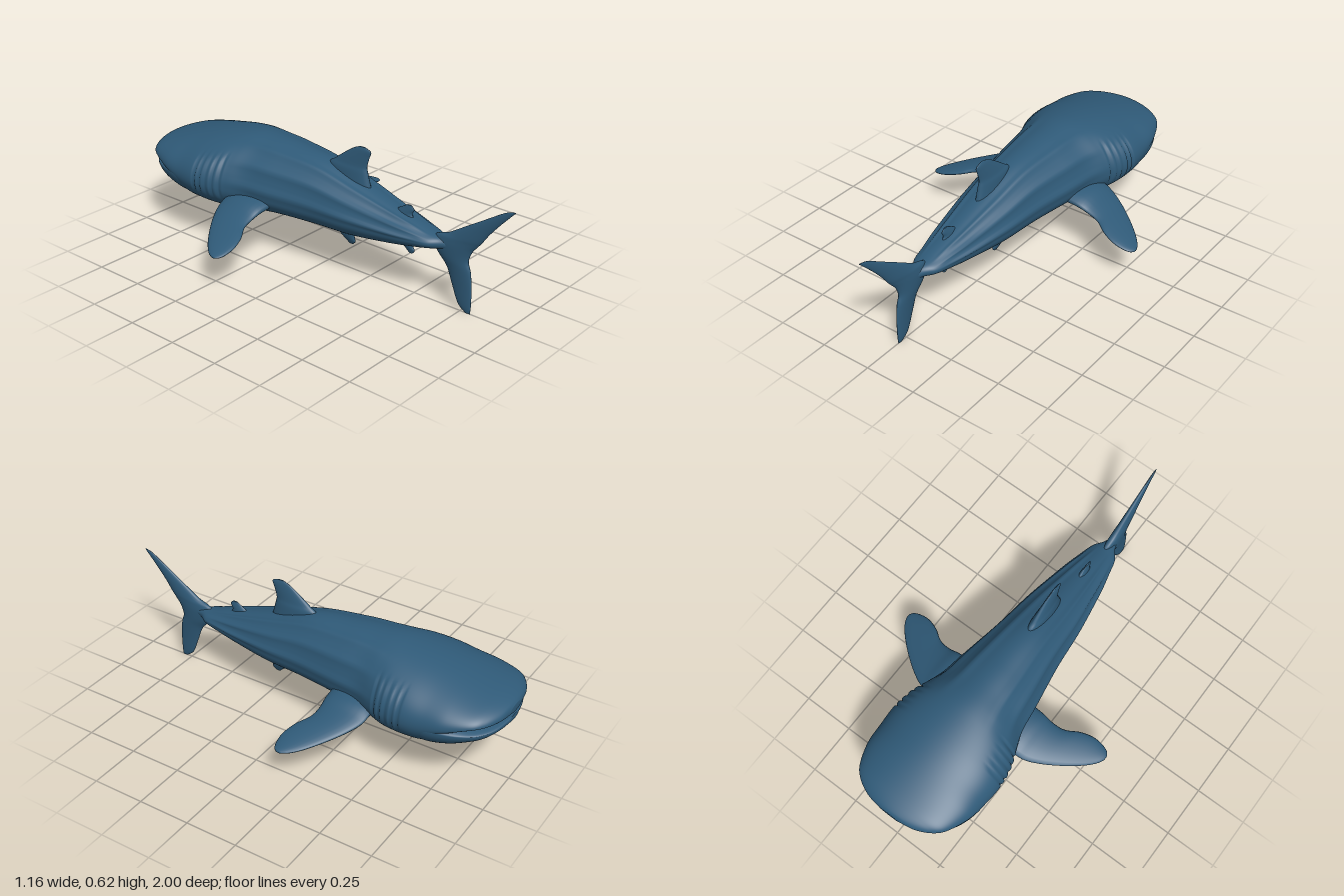
import * as THREE from 'three';

const skin = new THREE.MeshStandardMaterial({ color: 0x2f5a78 });
skin.name = 'slate blue skin';

// Smoothly resample rows of numbers (Catmull-Rom through every column).
function resample(rows, count) {
  const curve = k => new THREE.CatmullRomCurve3(
    rows.map(r => new THREE.Vector3(r[0], r[k], r[k + 1])), false, 'catmullrom', 0.5);
  const a = curve(1), b = curve(3);
  return Array.from({ length: count + 1 }, (_, i) => {
    const p = a.getPoint(i / count), q = b.getPoint(i / count);
    return [p.x, p.y, p.z, q.y, q.z];
  });
}

// Skin a list of closed rings and close both ends.
function loft(name, rings) {
  const n = rings[0].length, pos = [], index = [];
  for (const ring of rings) for (const p of ring) pos.push(...p);
  for (let i = 0; i < rings.length - 1; i++) {
    for (let j = 0; j < n; j++) {
      const a = i * n + j, b = i * n + (j + 1) % n;
      index.push(a, b, a + n, b, b + n, a + n);
    }
  }
  [0, rings.length - 1].forEach((r, end) => {
    const c = pos.length / 3;
    pos.push(...[0, 1, 2].map(k => rings[r].reduce((s, p) => s + p[k], 0) / n));
    for (let j = 0; j < n; j++) {
      const a = r * n + j, b = r * n + (j + 1) % n;
      if (end) index.push(c, a, b); else index.push(c, b, a);
    }
  });
  const g = new THREE.BufferGeometry();
  g.setAttribute('position', new THREE.Float32BufferAttribute(pos, 3));
  g.setIndex(index);
  g.computeVertexNormals();
  const mesh = new THREE.Mesh(g, skin);
  mesh.name = name;
  return mesh;
}

const smooth = THREE.MathUtils.smoothstep;

// Body rings from rows of [z, bottom, widest height, top, half width].
function bodyLoft(name, rows, steps) {
  const n = 96;
  return loft(name, resample(rows, steps).map(([z, bot, mid, top, w]) => {
    const ridges = 0.009 * smooth(z, -0.5, -0.25) * (1 - smooth(z, 0.4, 0.62));
    const gills = z > -0.6 && z < -0.43 ? 0.009 * Math.max(0, Math.sin((z + 0.6) / 0.034 * Math.PI * 2)) : 0;
    return Array.from({ length: n }, (_, j) => {
      const t = j / n * Math.PI * 2, c = Math.cos(t), s = Math.sin(t);
      // lengthwise ridges on the flanks
      let k = 0;
      const slope = Math.atan2(s, Math.abs(c));
      for (const a of [0.15, 0.6, 1.05]) k += Math.exp(-(((slope - a) / 0.09) ** 2));
      // gill slits on the sides only
      const slit = gills * smooth(s, -0.45, -0.1) * (1 - smooth(s, 0.5, 0.75));
      return [
        c * (w + k * ridges) - Math.sign(c) * slit,
        mid + s * ((s > 0 ? top - mid : mid - bot) + k * ridges),
        z];
    });
  }));
}

// Fin rings from rows of [span, leading z, trailing z, half thickness, offset].
function fin(name, rows, place, steps = 36) {
  const n = 20;
  return loft(name, resample(rows, steps).map(([s, lead, trail, th, off]) =>
    Array.from({ length: n }, (_, j) => {
      const t = j / n * Math.PI * 2;
      return place(s, (lead + trail) / 2, (trail - lead) / 2, th, off, Math.cos(t), Math.sin(t));
    })));
}
const upright = (s, m, h, th, off, c, d) => [off + th * d, s, m + h * c];
const sideways = (s, m, h, th, off, c, d) => [s, off + th * c, m + h * d];

export function createModel() {
  const shark = new THREE.Group();
  shark.name = 'shark';

  // Trunk with the upper jaw
  shark.add(bodyLoft('body', [
    [-1.0, 0.375, 0.39, 0.41, 0.05],
    [-0.985, 0.372, 0.388, 0.424, 0.13],
    [-0.95, 0.37, 0.385, 0.44, 0.2],
    [-0.9, 0.362, 0.38, 0.456, 0.246],
    [-0.8, 0.29, 0.36, 0.482, 0.285],
    [-0.7, 0.185, 0.34, 0.506, 0.297],
    [-0.6, 0.168, 0.335, 0.526, 0.302],
    [-0.5, 0.166, 0.33, 0.541, 0.288],
    [-0.42, 0.17, 0.325, 0.548, 0.255],
    [-0.33, 0.182, 0.32, 0.546, 0.222],
    [-0.2, 0.2, 0.315, 0.538, 0.2],
    [0.0, 0.206, 0.31, 0.515, 0.166],
    [0.2, 0.208, 0.305, 0.455, 0.143],
    [0.4, 0.23, 0.3, 0.392, 0.108],
    [0.52, 0.25, 0.3, 0.358, 0.085],
    [0.6, 0.266, 0.3, 0.335, 0.066],
    [0.66, 0.275, 0.3, 0.325, 0.028],
    [0.76, 0.288, 0.3, 0.312, 0.01],
  ], 170));

  // Lower jaw, leaving an open mouth line
  shark.add(bodyLoft('lowerJaw', [
    [-0.995, 0.326, 0.34, 0.35, 0.04],
    [-0.975, 0.306, 0.337, 0.35, 0.13],
    [-0.935, 0.274, 0.335, 0.353, 0.2],
    [-0.88, 0.245, 0.335, 0.36, 0.245],
    [-0.8, 0.208, 0.335, 0.38, 0.281],
    [-0.7, 0.18, 0.332, 0.4, 0.294],
    [-0.6, 0.185, 0.32, 0.4, 0.27],
  ], 40));

  // Dorsal fins
  shark.add(fin('dorsalFin', [
    [0.42, 0.0, 0.25, 0.034, 0],
    [0.5, 0.0, 0.228, 0.028, 0],
    [0.535, 0.04, 0.222, 0.02, 0],
    [0.58, 0.1, 0.234, 0.013, 0],
    [0.61, 0.145, 0.243, 0.008, 0],
    [0.625, 0.18, 0.215, 0.003, 0],
  ], upright));
  shark.add(fin('secondDorsalFin', [
    [0.34, 0.36, 0.5, 0.02, 0],
    [0.38, 0.385, 0.478, 0.014, 0],
    [0.405, 0.42, 0.488, 0.008, 0],
    [0.423, 0.45, 0.475, 0.003, 0],
  ], upright));

  // Tail fin, both lobes
  shark.add(fin('tailFin', [
    [0.004, 0.775, 0.802, 0.003, 0],
    [0.04, 0.735, 0.805, 0.008, 0],
    [0.125, 0.7, 0.804, 0.012, 0],
    [0.2, 0.67, 0.796, 0.017, 0],
    [0.25, 0.625, 0.782, 0.022, 0],
    [0.3, 0.59, 0.798, 0.024, 0],
    [0.335, 0.61, 0.825, 0.022, 0],
    [0.36, 0.675, 0.845, 0.02, 0],
    [0.41, 0.755, 0.88, 0.015, 0],
    [0.47, 0.85, 0.93, 0.01, 0],
    [0.53, 0.945, 0.985, 0.005, 0],
    [0.545, 0.985, 1.0, 0.002, 0],
  ], upright, 60));

  // Anal fin
  shark.add(fin('analFin', [
    [0.194, 0.465, 0.485, 0.003, 0],
    [0.21, 0.448, 0.496, 0.007, 0],
    [0.23, 0.428, 0.488, 0.012, 0],
    [0.27, 0.4, 0.5, 0.018, 0],
  ], upright));

  // Paired fins
  const pectoral = [
    [0.14, -0.44, -0.2, 0.04, 0.285],
    [0.24, -0.435, -0.202, 0.034, 0.274],
    [0.3, -0.425, -0.206, 0.027, 0.253],
    [0.36, -0.395, -0.196, 0.022, 0.236],
    [0.42, -0.355, -0.158, 0.019, 0.22],
    [0.48, -0.308, -0.137, 0.016, 0.204],
    [0.53, -0.262, -0.137, 0.013, 0.19],
    [0.565, -0.22, -0.148, 0.009, 0.181],
    [0.58, -0.19, -0.165, 0.004, 0.178],
  ];
  const pelvic = [
    [0.168, 0.17, 0.192, 0.003, 0.057],
    [0.185, 0.152, 0.208, 0.008, 0.06],
    [0.21, 0.125, 0.205, 0.014, 0.064],
    [0.25, 0.1, 0.21, 0.02, 0.068],
  ];
  shark.add(fin('leftPectoralFin', pectoral, sideways));
  shark.add(fin('rightPectoralFin', pectoral.map(([s, ...r]) => [-s, ...r]).reverse(), sideways));
  shark.add(fin('leftPelvicFin', pelvic, upright));
  shark.add(fin('rightPelvicFin', pelvic.map(r => [...r.slice(0, 4), -r[4]]), upright));

  return shark;
}
